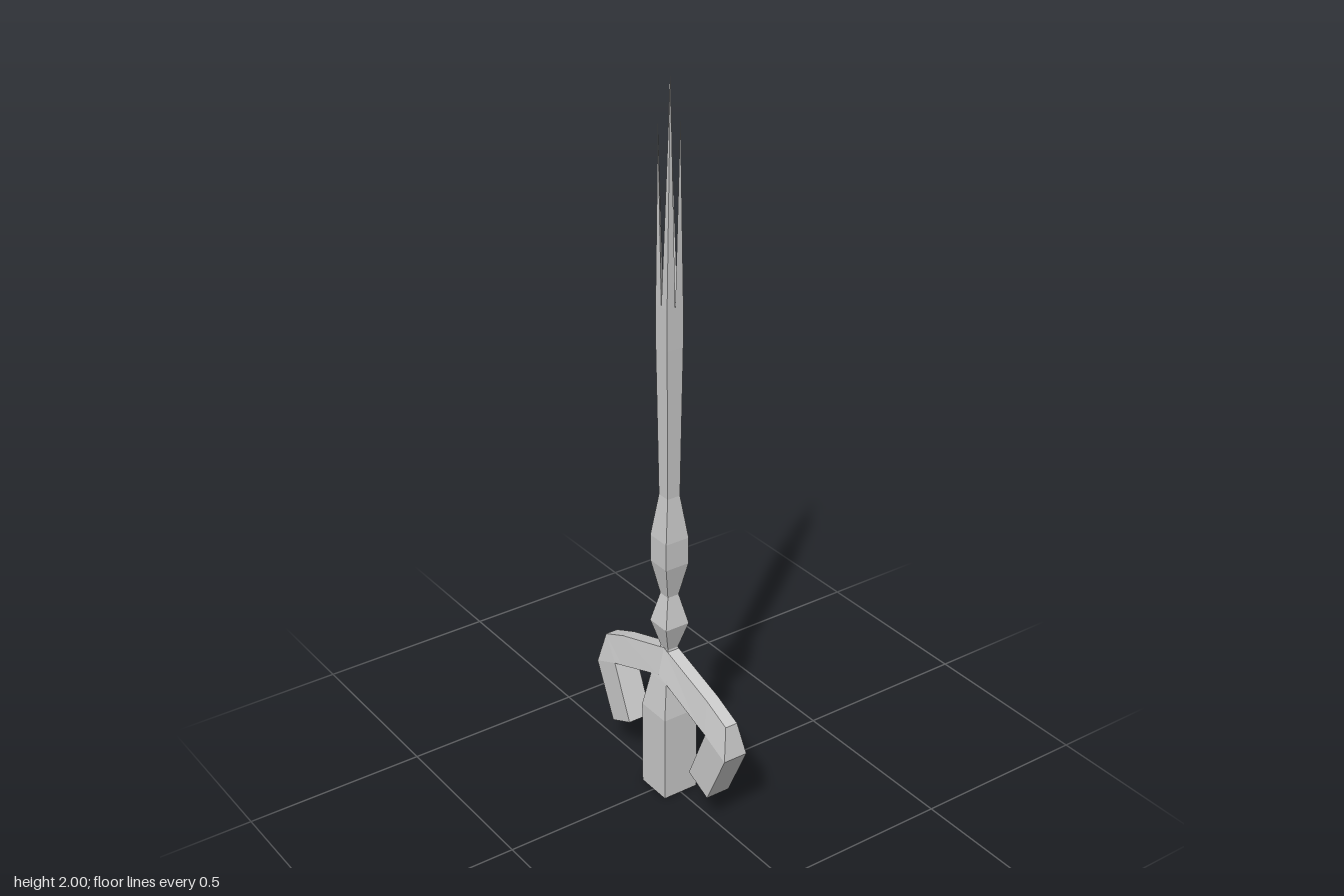
import * as THREE from 'three';
import { ConvexGeometry } from 'three/addons/geometries/ConvexGeometry.js';

const material = new THREE.MeshStandardMaterial({
  color: 0xcccccc, flatShading: true, side: THREE.DoubleSide,
});

function addMesh(parent, name, geometry) {
  const mesh = new THREE.Mesh(geometry, material);
  mesh.name = name;
  parent.add(mesh);
  return mesh;
}

// Square turned column from [half width, height] pairs
function squareColumn(profile) {
  const points = profile.map(([h, y]) => new THREE.Vector2(h * Math.SQRT2, y));
  return new THREE.LatheGeometry(points, 4, Math.PI / 4).toNonIndexed();
}

// Four-sided bar through sections [topX, topY, topZ, bottomX, bottomY, bottomZ]
function bar(sections) {
  const rings = sections.map(([tx, ty, tz, bx, by, bz]) => [
    [tx, ty, tz], [bx, by, bz], [bx, by, -bz], [tx, ty, -tz],
  ]);
  const positions = [];
  const quad = (a, b, c, d) => positions.push(...a, ...b, ...c, ...a, ...c, ...d);
  for (let i = 0; i < rings.length - 1; i++) {
    for (let j = 0; j < 4; j++) {
      const k = (j + 1) % 4;
      quad(rings[i][j], rings[i][k], rings[i + 1][k], rings[i + 1][j]);
    }
  }
  quad(...rings[rings.length - 1]);
  const geometry = new THREE.BufferGeometry();
  geometry.setAttribute('position', new THREE.Float32BufferAttribute(positions, 3));
  geometry.computeVertexNormals();
  return geometry;
}

export function createModel() {
  const group = new THREE.Group();
  group.name = 'prongedStaff';

  // Square foot narrowing up to the neck
  addMesh(group, 'foot', squareColumn([
    [0, 0], [0.052, 0], [0.052, 0.25], [0.035, 0.35], [0.016, 0.44],
  ]));

  // Two turned swellings and the long shaft
  addMesh(group, 'shaft', squareColumn([
    [0.016, 0.44], [0.036, 0.515], [0.017, 0.6], [0.035, 0.695],
    [0.035, 0.77], [0.019, 0.89], [0.024, 1.3], [0.024, 1.41], [0, 1.41],
  ]));

  // Drooping side arms with hooked ends
  const arm = bar([
    [0, 0.44, 0.018, 0, 0.362, 0.035],
    [0.19, 0.378, 0.018, 0.17, 0.3, 0.035],
    [0.272, 0.342, 0.018, 0.206, 0.288, 0.035],
    [0.291, 0.252, 0.035, 0.206, 0.288, 0.035],
    [0.218, 0.096, 0.035, 0.138, 0.132, 0.035],
  ]);
  addMesh(group, 'leftArm', arm);
  addMesh(group, 'rightArm', arm).rotation.y = Math.PI;

  // Uneven needle splinters rising from the corners of the shaft: [x side, z side, tip height, tip z]
  const base = 1.41, half = 0.024;
  for (const [sx, sz, top, tipZ] of [
    [1, 1, 2.0, 0.012], [-1, -1, 1.97, 0.015], [-1, 1, 1.87, 0.018], [1, -1, 1.89, 0.016],
  ]) {
    addMesh(group, 'splinter', new ConvexGeometry([
      new THREE.Vector3(sx * half, base, sz * half),
      new THREE.Vector3(0, base, sz * half),
      new THREE.Vector3(sx * half, base, 0),
      new THREE.Vector3(sx * 0.021, top, sz * tipZ),
    ]));
  }
  return group;
}
